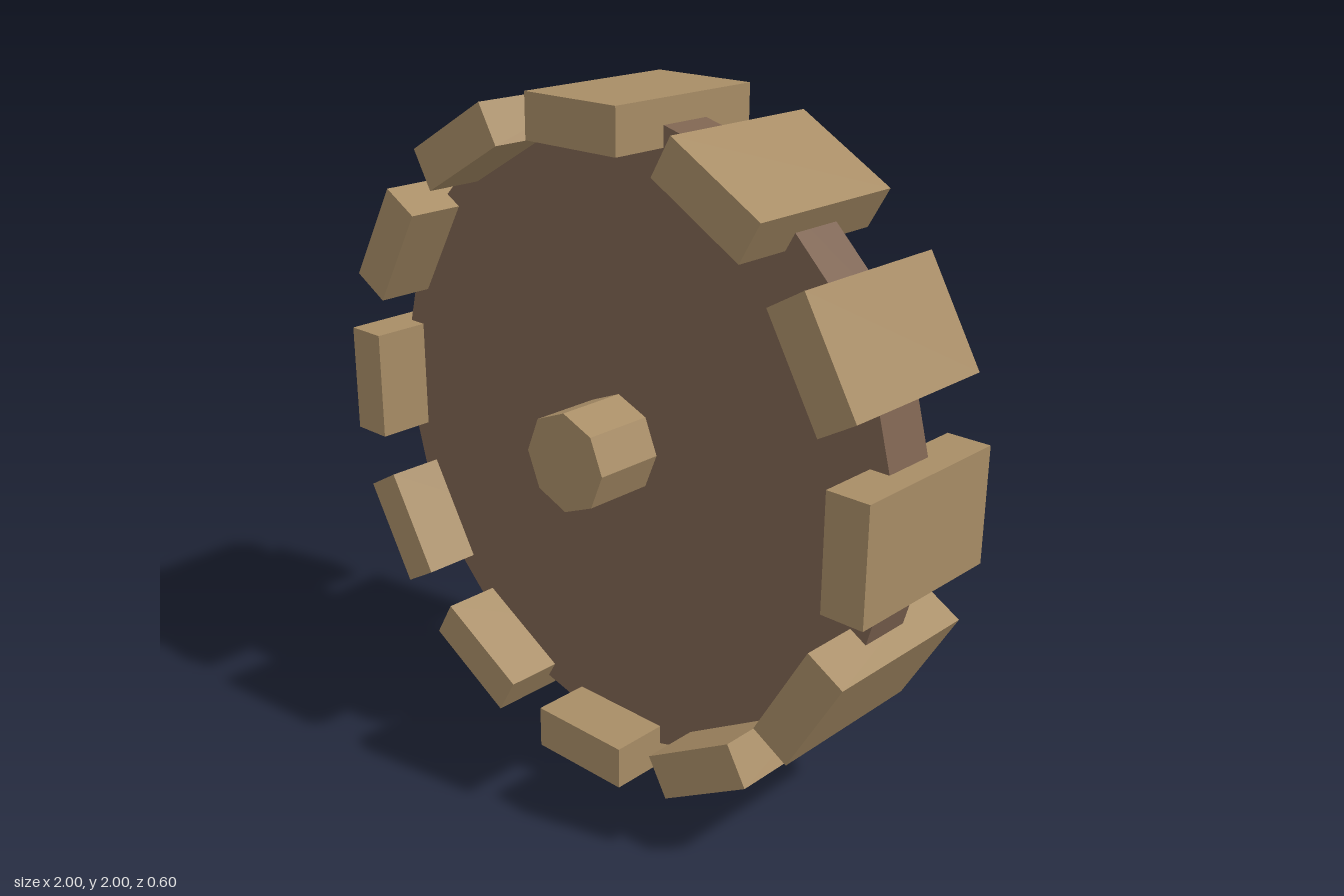
import * as THREE from 'three';

const paleWood = new THREE.MeshStandardMaterial({ color: 0xa88d66, flatShading: true });
paleWood.name = 'pale wood';
const darkWood = new THREE.MeshStandardMaterial({ color: 0x7d6350, flatShading: true });
darkWood.name = 'dark wood';

const PADDLES = 12;
const CENTRE_Y = 1;

// Flat-sided cylinder lying along z
function disc(name, radius, depth, sides, material) {
  const geometry = new THREE.CylinderGeometry(radius, radius, depth, sides);
  geometry.rotateX(Math.PI / 2);
  const mesh = new THREE.Mesh(geometry, material);
  mesh.name = name;
  return mesh;
}

export function createModel() {
  const model = new THREE.Group();
  model.name = 'paddleWheel';

  const wheel = new THREE.Group();
  wheel.name = 'wheel';
  wheel.position.y = CENTRE_Y;
  model.add(wheel);

  // Solid wheel disc and the axle running through it
  wheel.add(disc('wheelDisc', 0.974, 0.166, PADDLES, darkWood));
  wheel.add(disc('axle', 0.148, 0.6, 8, paleWood));

  // Paddle blocks evenly spaced around the rim
  const paddleGeometry = new THREE.BoxGeometry(0.336, 0.13, 0.522);
  for (let i = 0; i < PADDLES; i++) {
    const angle = (i / PADDLES) * Math.PI * 2;
    const paddle = new THREE.Mesh(paddleGeometry, paleWood);
    paddle.name = 'paddle' + (i + 1);
    paddle.position.set(Math.sin(angle) * 0.935, Math.cos(angle) * 0.935, 0);
    paddle.rotation.z = -angle;
    wheel.add(paddle);
  }

  return model;
}
